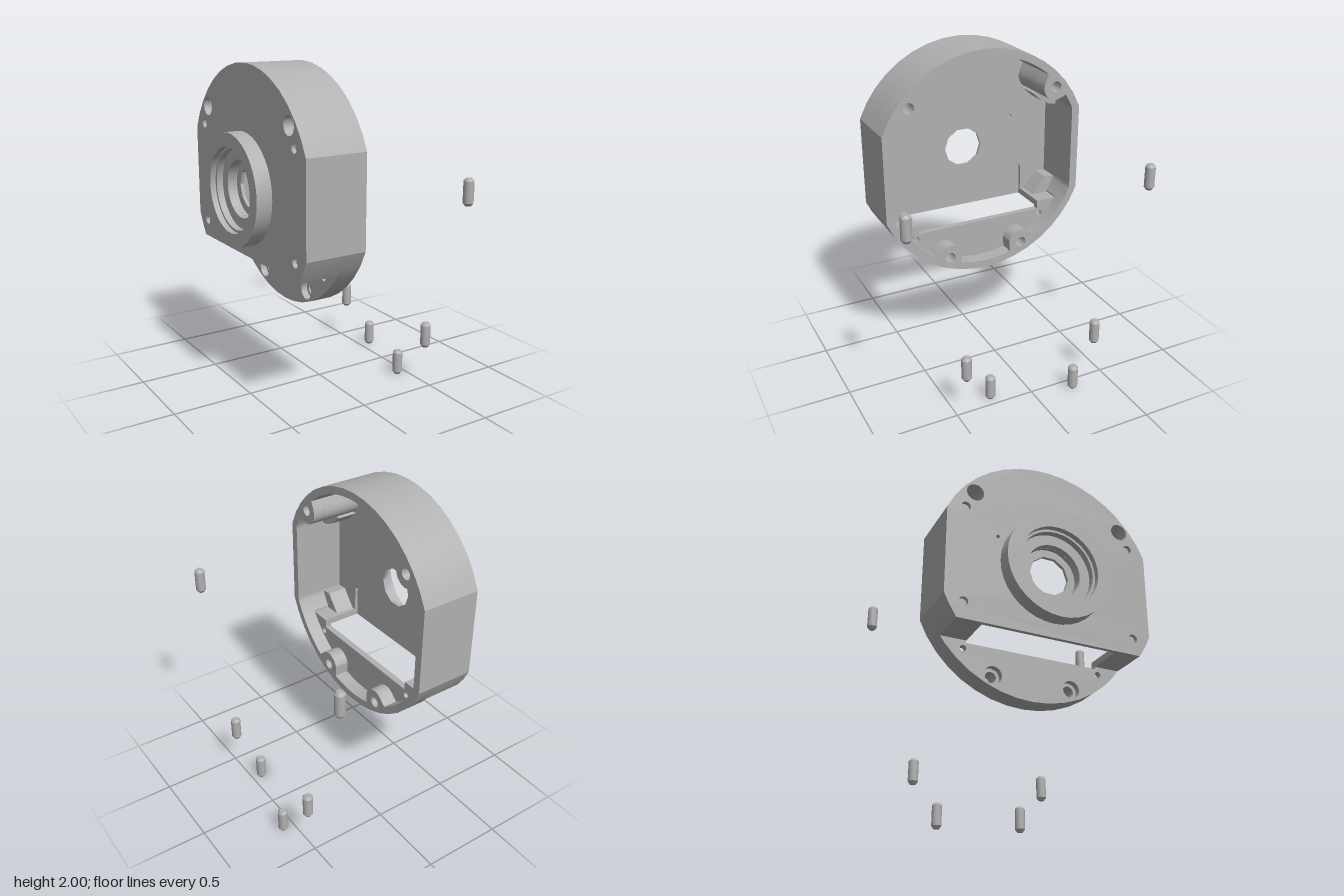
import * as THREE from 'three';
import { toCreasedNormals } from 'three/addons/utils/BufferGeometryUtils.js';

const CY = 1.29, R = 0.71, FLAT = 0.655, STEP = 0.88;
const A = Math.acos(FLAT / R);                 // where the flat sides start
const B = Math.asin((CY - STEP) / R);          // where the stepped bottom cuts the circle
const bosses = [[0.485, 1.71], [0.25, 0.70]];
const mirror = list => list.flatMap(([u, v]) => [[u, v], [-u, v]]);

const arc = (r, a, b, n, u = 0, v = CY) => Array.from({ length: n + 1 }, (_, i) => {
  const t = a + (b - a) * i / n;
  return [u + r * Math.cos(t), v + r * Math.sin(t)];
});
const toShape = pts => new THREE.Shape(pts.map(p => new THREE.Vector2(p[0], p[1])));
const hole = (r, [u, v], n = 16) => arc(r, 0, Math.PI * 2 * (n - 1) / n, n - 1, u, v);

// Full round outline with flat sides, and the one cut off at the step
const fullOutline = [...arc(R, A, Math.PI - A, 16), ...arc(R, Math.PI + A, 2 * Math.PI - A, 16)];
const steppedOutline = [...arc(R, -B, -A, 2), ...arc(R, A, Math.PI - A, 16), ...arc(R, Math.PI + A, Math.PI + B, 2)];

// Inner wall: circle with flat sides, pushed inward around each screw boss
function cavityRadius(t) {
  let r = Math.min(0.662, 0.605 / Math.max(Math.abs(Math.cos(t)), 1e-6));
  for (const [u, v] of mirror(bosses)) {
    const d = Math.hypot(u, v - CY), delta = t - Math.atan2(v - CY, u), rho = 0.085;
    const side = d * Math.sin(delta);
    if (Math.cos(delta) > 0 && Math.abs(side) < rho)
      r = Math.min(r, d * Math.cos(delta) - Math.sqrt(rho * rho - side * side));
  }
  return r;
}
const N = 240;
const cavity = Array.from({ length: N }, (_, i) => {
  const t = -Math.PI / 2 + i / N * Math.PI * 2, r = cavityRadius(t);
  return [r * Math.cos(t), CY + r * Math.sin(t)];
});
const FLOOR = 0.92, W = 0.42;
const upperCavity = cavity.filter(p => p[1] > FLOOR);   // runs from right, over the top, to left
const cavityEnds = [[upperCavity[0][0], FLOOR], [upperCavity.at(-1)[0], FLOOR]];

export function createModel() {
  const model = new THREE.Group();
  const grey = new THREE.MeshStandardMaterial({ color: 0xb0b0b0 });
  grey.name = 'cast grey';

  const add = (name, geo, parent) => {
    const mesh = new THREE.Mesh(toCreasedNormals(geo, 0.45), grey);
    mesh.name = name;
    parent.add(mesh);
    return mesh;
  };
  const housing = new THREE.Group();
  housing.name = 'housing';
  model.add(housing);

  // Extrude an outline along x between two depths
  const slab = (name, outline, holes, x0, x1) => {
    const shape = toShape(outline);
    holes.forEach(h => shape.holes.push(new THREE.Path(h.map(p => new THREE.Vector2(p[0], p[1])))));
    const geo = new THREE.ExtrudeGeometry(shape, { depth: x1 - x0, bevelEnabled: false });
    geo.rotateY(Math.PI / 2).translate(x0, 0, 0);
    return add(name, geo, housing);
  };

  const topBosses = mirror([bosses[0]]), allBosses = mirror(bosses);
  const counterbores = topBosses.map(p => hole(0.055, p));
  const ventHole = hole(0.012, [0.34, 1.45], 8);

  // Back plate, outer skin with blind screw holes
  slab('backPlate', steppedOutline, [
    hole(0.17, [0, CY], 24), ...counterbores, ventHole,
    ...mirror([[0.54, 1.6], [0.54, 0.985]]).map(p => hole(0.028, p, 12)),
  ], -0.495, -0.47);

  // Inner skin with the shallow pocket
  slab('pocketPlate', [
    ...steppedOutline, [-W, STEP], [-W, 1.085], [-0.395, 1.11], [0.395, 1.11], [W, 1.085], [W, STEP],
  ], [hole(0.125, [0, CY], 10), ...counterbores, ventHole], -0.47, -0.45);

  // Deep wall, open at the bottom through the slot
  slab('deepWall', [
    ...steppedOutline, [-W, STEP], [-W, FLOOR], cavityEnds[1],
    ...[...upperCavity].reverse(), cavityEnds[0], [W, FLOOR], [W, STEP],
  ], counterbores, -0.45, -0.25);

  // Lower shelf closing the bottom segment
  slab('shelf', fullOutline, [
    [cavityEnds[0], ...upperCavity, cavityEnds[1], [-W, FLOOR], [-W, 0.865], [W, 0.865], [W, FLOOR]],
    ...allBosses.map(p => hole(0.055, p)),
    ...mirror([[0.437, 0.829]]).map(p => hole(0.02, p, 10)),
  ], -0.25, -0.21);

  // Front rim with the narrow screw holes
  slab('rim', fullOutline, [cavity, ...allBosses.map(p => hole(0.035, p, 12))], -0.21, -0.118);

  // Short pads behind the blind holes
  const upperPad = [[0.607, 1.53], [0.61, 1.6], [0.57, 1.645], [0.48, 1.645], [0.43, 1.625], [0.5, 1.565], [0.56, 1.535]];
  const lowerPad = [[0.54, 0.9], [0.615, 0.98], [0.607, 1.025], [0.54, 1.03], [0.49, 0.97], [0.43, 0.9]];
  for (const s of [1, -1]) {
    for (const [name, pad] of [['upperPad', upperPad], ['lowerPad', lowerPad]])
      slab(name, pad.map(([u, v]) => [u * s, v]), [], -0.47, -0.32);
  }

  const lathe = (pts, n) => new THREE.LatheGeometry(pts.map(p => new THREE.Vector2(p[0], p[1])), n);

  // Stepped bearing collar on the back
  const collar = lathe([
    [0.17, 0.49], [0.28, 0.49], [0.28, 0.51], [0.33, 0.51], [0.33, 0.605], [0.25, 0.605],
    [0.25, 0.57], [0.235, 0.57], [0.235, 0.53], [0.17, 0.53], [0.17, 0.49],
  ], 36);
  collar.rotateZ(Math.PI / 2).translate(0, CY, 0);
  add('bearingCollar', collar, housing);

  // Loose set screws with chamfered ends
  const pinPlaces = [
    [0.505, 1.213, 0.765], [0.505, 1.213, -0.765], [0.505, 0.24, 0.437],
    [0.505, 0.24, -0.437], [0.437, 0.003, 0.25], [0.572, 0.003, -0.25],
  ];
  for (const p of pinPlaces) {
    const pin = lathe([[0, 0], [0.018, 0], [0.031, 0.018], [0.031, 0.145], [0.019, 0.16], [0, 0.16]], 16);
    add('setScrew', pin, model).position.set(...p);
  }
  return model;
}
